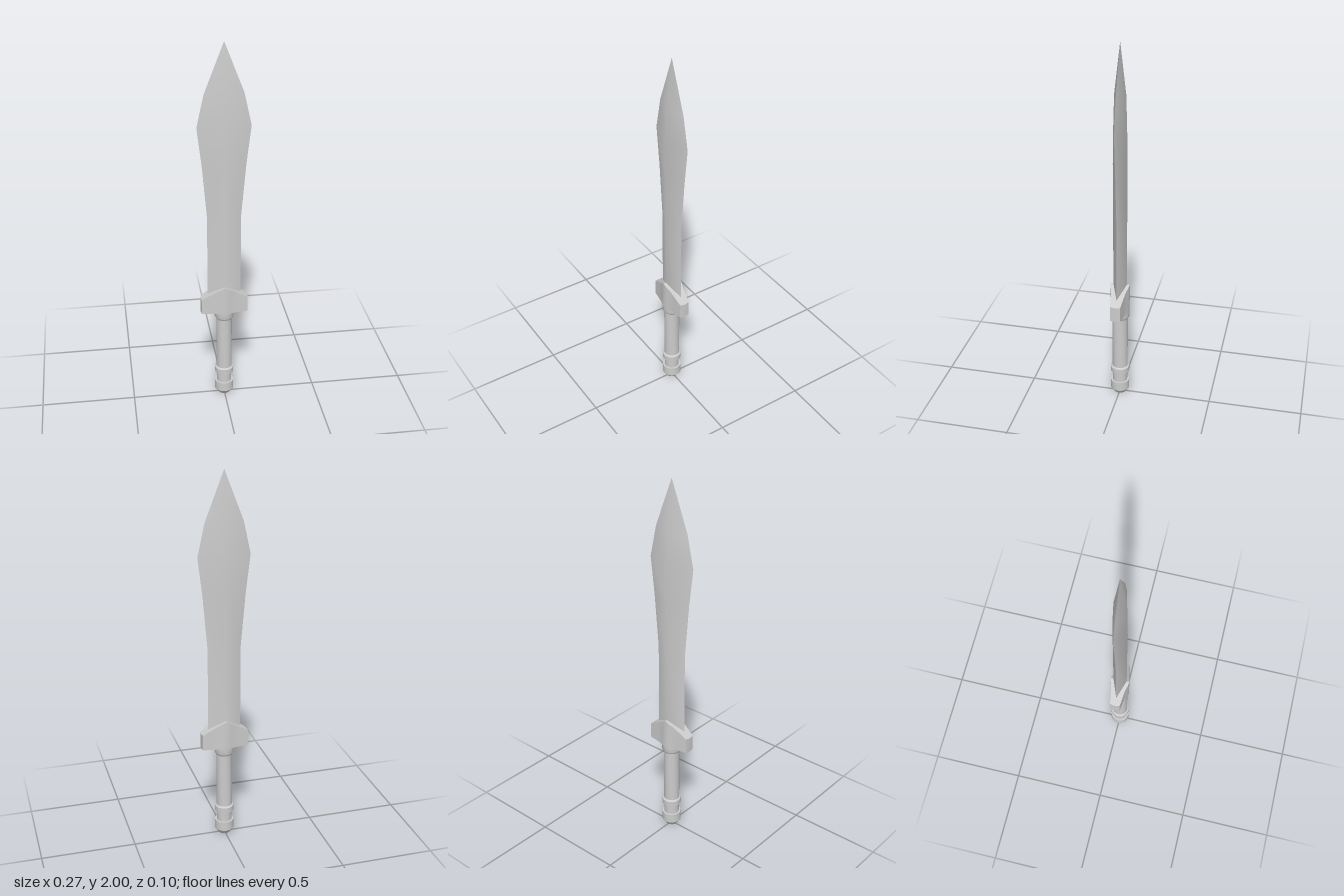
import * as THREE from 'three';
import { toCreasedNormals } from 'three/addons/utils/BufferGeometryUtils.js';

const material = new THREE.MeshStandardMaterial({ color: 0xcccccc });

function mesh(name, geometry, creaseDegrees) {
  const m = new THREE.Mesh(toCreasedNormals(geometry, THREE.MathUtils.degToRad(creaseDegrees)), material);
  m.name = name;
  return m;
}

// Skin a row of equal-length rings of points, skipping collapsed triangles.
function loft(rings) {
  const positions = [];
  const tri = (...points) => {
    const [a, b, c] = points.map((p) => new THREE.Vector3(...p));
    if (b.sub(a).cross(c.sub(a)).length() > 1e-9) positions.push(...points.flat());
  };
  for (let r = 0; r < rings.length - 1; r++) {
    const lower = rings[r], upper = rings[r + 1], n = lower.length;
    for (let i = 0; i < n; i++) {
      const j = (i + 1) % n;
      tri(lower[i], upper[i], upper[j]);
      tri(lower[i], upper[j], lower[j]);
    }
  }
  const geometry = new THREE.BufferGeometry();
  geometry.setAttribute('position', new THREE.Float32BufferAttribute(positions, 3));
  return geometry;
}

// Turned part from [radius, height] pairs, bottom to top.
function turned(name, profile) {
  const points = profile.map(([r, y]) => new THREE.Vector2(r, y));
  return mesh(name, new THREE.LatheGeometry(points, 16).toNonIndexed(), 35);
}

export function createModel() {
  const group = new THREE.Group();

  // Leaf-shaped blade with a diamond section: [height, half width, half depth]
  const bladeSections = [
    [0.55, 0.088, 0.037], [1.08, 0.088, 0.037], [1.37, 0.113, 0.038],
    [1.57, 0.137, 0.035], [1.74, 0.1, 0.03], [2, 0, 0],
  ];
  const bladeRings = bladeSections.map(([y, w, d]) => [[w, y, 0], [0, y, d], [-w, y, 0], [0, y, -d]]);
  group.add(mesh('blade', loft(bladeRings), 50));

  // Guard with a gabled top, swelling at the middle: [x, half depth]
  const half = [[0.022, 0.047], [0.045, 0.039], [0.07, 0.035], [0.123, 0.027], [0.127, 0]];
  const mirrored = half.map(([x, z]) => [-x, z]).reverse();
  const guardRings = [...mirrored, [0, 0.052], ...half].map(([x, z]) => {
    const top = 0.685 - 0.61 * Math.abs(x), bottom = 0.525;
    return [[x, top, z], [x, top, -z], [x, bottom, -z], [x, bottom, z]];
  });
  group.add(mesh('guard', loft(guardRings), 50));

  // Hilt
  group.add(turned('collar', [[0, 0.48], [0.044, 0.48], [0.051, 0.492], [0.051, 0.53], [0, 0.53]]));
  group.add(turned('grip', [[0.042, 0.165], [0.042, 0.485]]));
  group.add(turned('gripRing', [[0.038, 0.135], [0.051, 0.138], [0.051, 0.168], [0.04, 0.176]]));
  group.add(turned('neck', [[0.04, 0.075], [0.04, 0.14]]));
  group.add(turned('pommel', [[0, 0], [0.03, 0], [0.051, 0.028], [0.051, 0.08], [0, 0.08]]));

  return group;
}
